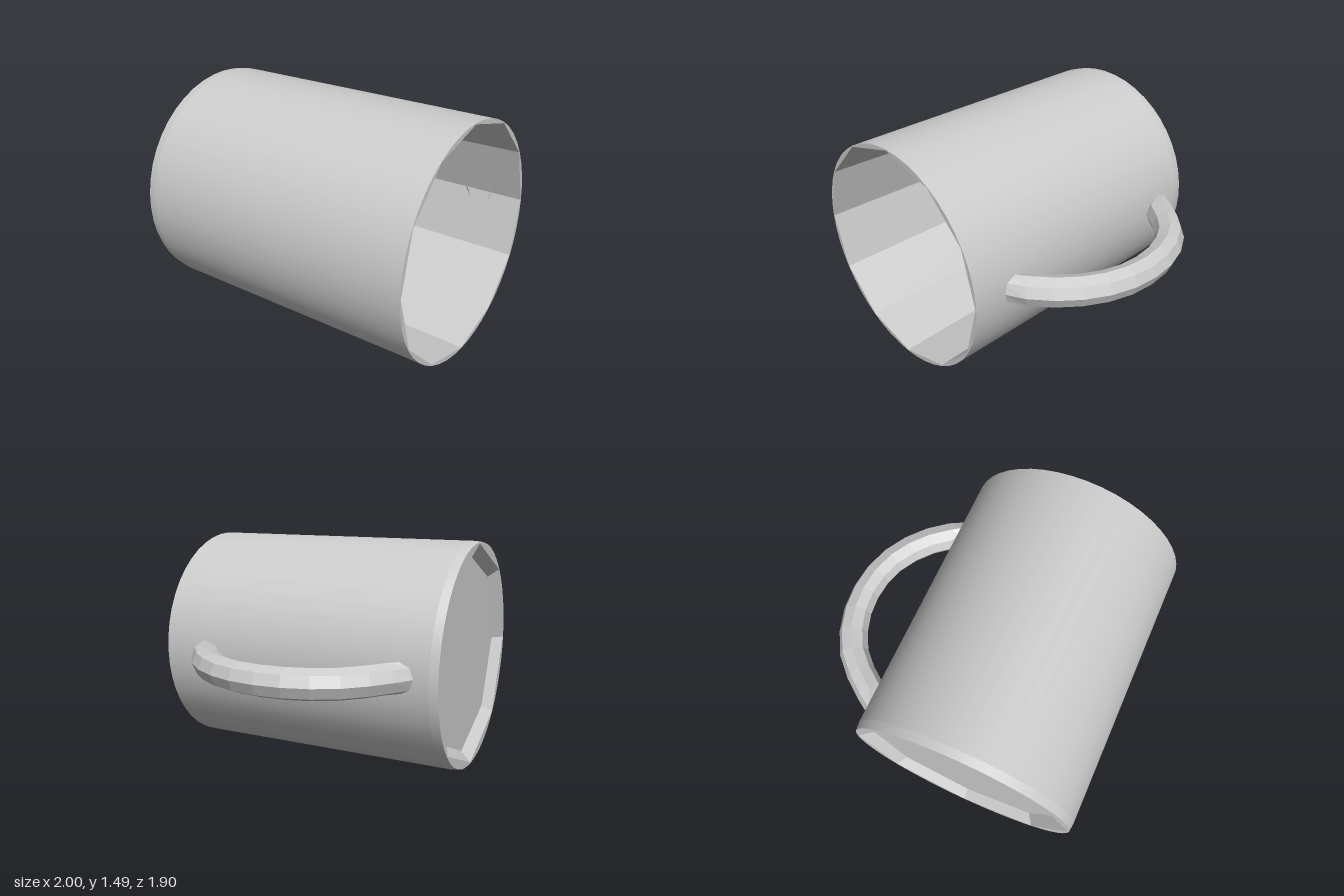
import * as THREE from 'three';

export function createModel() {
  const group = new THREE.Group();
  const material = new THREE.MeshStandardMaterial({ color: 0xcccccc, side: THREE.DoubleSide });
  material.name = 'light grey';

  const CX = -0.25, CY = 0.747, R = 0.745;
  const FRONT = 0.95, BACK = -0.955;

  const flat = (geometry) => {
    const g = geometry.index ? geometry.toNonIndexed() : geometry;
    g.computeVertexNormals();
    return g;
  };
  const add = (name, geometry, parent) => {
    const mesh = new THREE.Mesh(geometry, material);
    mesh.name = name;
    parent.add(mesh);
    return mesh;
  };
  // Open wall along z, with its own radius at each end
  const wall = (rFront, rBack, zFront, zBack, sides) =>
    new THREE.CylinderGeometry(rFront, rBack, zFront - zBack, sides, 1, true)
      .rotateX(Math.PI / 2)
      .translate(0, 0, (zFront + zBack) / 2);
  const polygon = (radius, sides) => Array.from({ length: sides }, (_, i) => {
    const a = (i / sides) * Math.PI * 2;
    return new THREE.Vector2(Math.cos(a) * radius, Math.sin(a) * radius);
  });
  // Flat round rim with a many-cornered opening
  const rim = (rOuter, rHole, sides, z) => {
    const shape = new THREE.Shape(polygon(rOuter, 48));
    shape.holes.push(new THREE.Path(polygon(rHole, sides)));
    return new THREE.ShapeGeometry(shape).translate(0, 0, z);
  };

  // Mug lying on its side, opening to the front
  const mug = new THREE.Group();
  mug.name = 'mug';
  mug.position.set(CX, CY, 0);
  group.add(mug);
  add('outerWall', wall(R, R, FRONT, -0.9, 48), mug);
  add('baseBevel', wall(R, 0.738, -0.9, BACK, 48), mug);
  add('frontRim', rim(R, 0.738, 12, FRONT), mug);
  add('innerWall', flat(wall(0.738, 0.7, FRONT, -0.83, 12)), mug);
  add('innerFloor', new THREE.CircleGeometry(0.7, 12).translate(0, 0, -0.83), mug);

  // Eight-sided hollow under the base
  add('baseRim', rim(0.738, 0.73, 8, BACK).rotateY(Math.PI).translate(0, 0, 2 * BACK), mug);
  add('baseHollow', flat(wall(0.66, 0.73, -0.89, BACK, 8)), mug);
  add('baseFloor', new THREE.CircleGeometry(0.66, 8).rotateY(Math.PI).translate(0, 0, -0.89), mug);

  // Faceted handle, its ends trimmed inside the wall
  const path = new THREE.CatmullRomCurve3([
    [0.42, -0.74], [0.56, -0.65], [0.76, -0.48], [0.87, -0.27], [0.905, -0.04],
    [0.87, 0.19], [0.76, 0.4], [0.58, 0.58], [0.42, 0.66],
  ].map(([x, z]) => new THREE.Vector3(x, CY, z)));
  const handle = new THREE.TubeGeometry(path, 12, 0.096, 8, false);
  const p = handle.attributes.position;
  for (let i = 0; i < p.count; i++) p.setX(i, Math.max(p.getX(i), 0.465));
  add('handle', flat(handle), group);

  return group;
}
